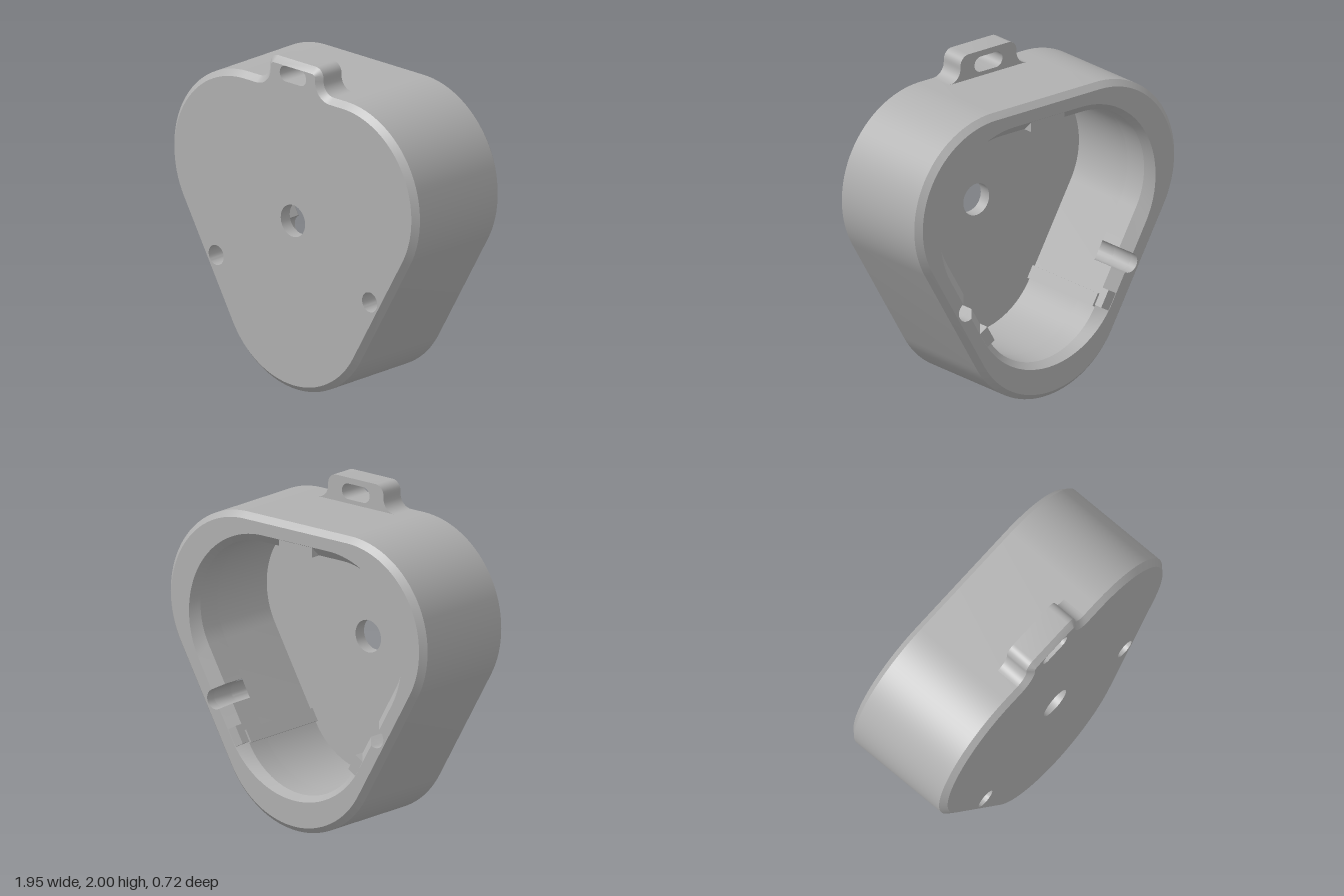
import * as THREE from 'three';
import { toCreasedNormals } from 'three/addons/utils/BufferGeometryUtils.js';

const CY = 1.035;            // centre of the rounded triangle
const FRONT = 0.36, BACK = -0.36, BEVEL = 0.035, PLATE = 0.285;
const BORE_R = 0.06, BORE_N = 0.703, BORE_END = -0.15;
const rad = THREE.MathUtils.degToRad;

// point at distance n along a side's outward normal and t along the side
function sidePoint(deg, n, t) {
  const c = Math.cos(rad(deg)), s = Math.sin(rad(deg));
  return new THREE.Vector2(c * n - s * t, CY + s * n + c * t);
}

function arc(cx, cy, r, from, to, steps) {
  const pts = [];
  for (let i = 0; i <= steps; i++) {
    const a = rad(from + (to - from) * i / steps);
    pts.push(new THREE.Vector2(cx + r * Math.cos(a), cy + r * Math.sin(a)));
  }
  return pts;
}

// open U-shaped channel cut into a side around the screw bore
function notch(deg, n) {
  const pts = [sidePoint(deg, n, -BORE_R)];
  for (let i = 0; i <= 12; i++) {
    const a = rad(-90 + 15 * i);
    pts.push(sidePoint(deg, BORE_N + BORE_R * Math.cos(a), BORE_R * Math.sin(a)));
  }
  pts.push(sidePoint(deg, n, BORE_R));
  return pts;
}

// hanging tab contour, running from right to left, inset by d
function tabContour(d) {
  const right = [
    ...arc(0.29, 1.925, 0.08 + d, 270, 180, 10),
    ...arc(0.15, 1.94, 0.06 - d, 0, 90, 8),
  ];
  return [...right, ...right.map(p => new THREE.Vector2(-p.x, p.y)).reverse()];
}

// rounded triangle: corner centres at 2a from the middle, corner radius r
function triangle(a, r, { notched = false, tab = null } = {}) {
  const pts = [];
  for (const deg of [30, 150, 270]) {
    const cx = 2 * a * Math.cos(rad(deg)), cy = CY + 2 * a * Math.sin(rad(deg));
    pts.push(...arc(cx, cy, r, deg - 60, deg + 60, 32));
    if (deg === 30 && tab !== null) pts.push(...tabContour(tab));
    if (deg !== 30 && notched) pts.push(...notch(deg + 60, a + r));
  }
  return pts;
}

// skin between two matching rings; low to high z faces outward, high to low inward
function loft(ringA, zA, ringB, zB) {
  const pos = [];
  const put = (p, z) => pos.push(p.x, p.y, z);
  for (let i = 0; i < ringA.length; i++) {
    const j = (i + 1) % ringA.length;
    put(ringA[i], zA); put(ringA[j], zA); put(ringB[j], zB);
    put(ringA[i], zA); put(ringB[j], zB); put(ringB[i], zB);
  }
  const g = new THREE.BufferGeometry();
  g.setAttribute('position', new THREE.Float32BufferAttribute(pos, 3));
  return toCreasedNormals(g, 0.5);
}

function face(outline, holes, z, backward = false) {
  const s = new THREE.Shape(outline);
  s.holes = holes.map(h => new THREE.Path(h));
  const g = new THREE.ShapeGeometry(s);
  if (backward) g.rotateY(Math.PI);
  return g.translate(0, 0, z);
}

export function createModel() {
  const model = new THREE.Group();
  model.name = 'hangingCase';
  const grey = new THREE.MeshStandardMaterial({ color: 0xb0b0b0 });
  grey.name = 'grey';
  const add = (name, geometry) => {
    const m = new THREE.Mesh(geometry, grey);
    m.name = name;
    model.add(m);
    return m;
  };

  const A = 0.225, R = 0.585;
  const body = triangle(A, R), bodyInset = triangle(A, R - BEVEL);
  const cavity = triangle(0.178, 0.462);
  const cavityNotched = triangle(0.178, 0.462, { notched: true });
  const lip = triangle(0.145, 0.555, { notched: true });

  // through holes
  const circle = (x, y, r) => arc(x, y, r, 0, 360, 40).slice(0, -1);
  const centreHole = circle(0, CY, 0.097);
  const bores = [-30, 210].map(deg => {
    const p = sidePoint(deg, BORE_N, 0);
    return circle(p.x, p.y, BORE_R);
  });
  const slot = [...arc(0.058, 1.917, 0.047, -90, 90, 12), ...arc(-0.058, 1.917, 0.047, 90, 270, 12)];

  // outer shell
  const frontOuter = triangle(A, R, { tab: 0 });
  const frontInner = triangle(A, R - BEVEL, { tab: BEVEL });
  add('frontFace', face(frontInner, [centreHole, ...bores, slot], FRONT));
  add('frontBevel', loft(frontOuter, FRONT - BEVEL, frontInner, FRONT));
  add('outerWall', loft(body, BACK + BEVEL, body, FRONT - BEVEL));
  add('backBevel', loft(bodyInset, BACK, body, BACK + BEVEL));
  add('backRim', face(bodyInset, [lip], BACK, true));

  // hollow inside
  add('cavityLip', loft(cavityNotched, BACK + 0.06, lip, BACK));
  add('cavityChannelWall', loft(cavityNotched, BORE_END, cavityNotched, BACK + 0.06));
  add('cavityWall', loft(cavity, PLATE, cavity, BORE_END));
  add('cavityFloor', face(cavity, [centreHole], PLATE, true));

  // hole linings
  add('centreHoleWall', loft(centreHole, FRONT, centreHole, PLATE));
  bores.forEach(b => add('screwBore', loft(b, FRONT, b, BORE_END)));
  add('tabSlotWall', loft(slot, FRONT, slot, 0.175));

  // hanging tab behind the front bevel
  const tabOutline = [new THREE.Vector2(0.29, 1.82), ...tabContour(0), new THREE.Vector2(-0.29, 1.82)];
  add('tabBack', face(tabOutline, [slot], 0.175, true));
  add('tabWall', loft(tabOutline, 0.175, tabOutline, FRONT - BEVEL));

  // blocks filling the lip, and slim ribs along the side walls
  const block = (name, deg, n0, n1, t0, t1, z0, z1) => {
    const m = add(name, new THREE.BoxGeometry(n1 - n0, t1 - t0, z1 - z0));
    const p = sidePoint(deg, (n0 + n1) / 2, (t0 + t1) / 2);
    m.position.set(p.x, p.y, (z0 + z1) / 2);
    m.rotation.z = rad(deg);
  };
  block('topLipBlock', 90, 0.637, 0.73, -0.125, 0.125, BACK + 0.002, -0.28);
  for (const [deg, s] of [[-30, -1], [210, 1]]) {
    const span = (a, b) => s > 0 ? [a, b] : [-b, -a];
    block('sideLipBlock', deg, 0.635, 0.72, ...span(0.19, 0.3), BACK + 0.002, -0.28);
    block('sideRib', deg, 0.622, 0.67, ...span(0.23, 0.31), BACK + 0.06, PLATE);
  }
  return model;
}
